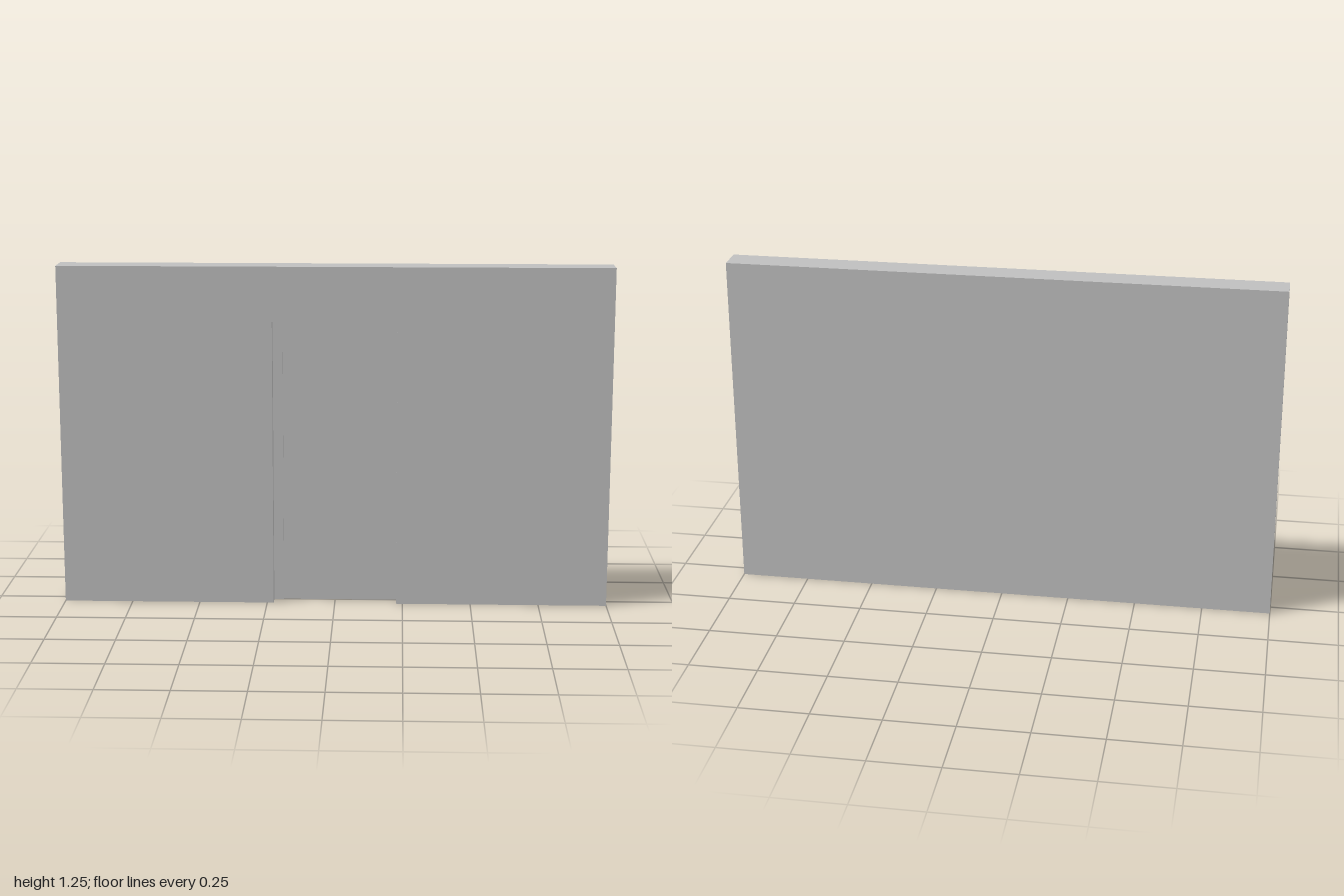
import * as THREE from 'three';

export function createModel() {
  const model = new THREE.Group();
  model.name = 'wallWithDoorway';
  const wallGrey = new THREE.MeshStandardMaterial({ color: 0xbfbfbf });
  wallGrey.name = 'wallGrey';

  const width = 2, height = 1.25, front = 0.05, recess = 0;
  const doorHalf = 0.226, doorTop = 1.05;

  // Front half of the wall, an outline that runs around the doorway
  const outline = new THREE.Shape([
    [-width / 2, 0], [-doorHalf, 0], [-doorHalf, doorTop], [doorHalf, doorTop],
    [doorHalf, 0], [width / 2, 0], [width / 2, height], [-width / 2, height],
  ].map(([x, y]) => new THREE.Vector2(x, y)));
  const frontWall = new THREE.Mesh(
    new THREE.ExtrudeGeometry(outline, { depth: front - recess, bevelEnabled: false }), wallGrey);
  frontWall.position.z = recess;
  frontWall.name = 'frontWall';
  model.add(frontWall);

  // Solid back half closes the doorway
  const backWall = new THREE.Mesh(new THREE.BoxGeometry(width, height, front + recess), wallGrey);
  backWall.position.set(0, height / 2, (recess - front) / 2);
  backWall.name = 'backWall';
  model.add(backWall);

  // Slim door stop along the left side of the recess
  const stop = new THREE.Mesh(new THREE.BoxGeometry(0.036, doorTop, 0.008), wallGrey);
  stop.position.set(-doorHalf + 0.018, doorTop / 2, recess + 0.004);
  stop.name = 'doorStop';
  model.add(stop);

  return model;
}
